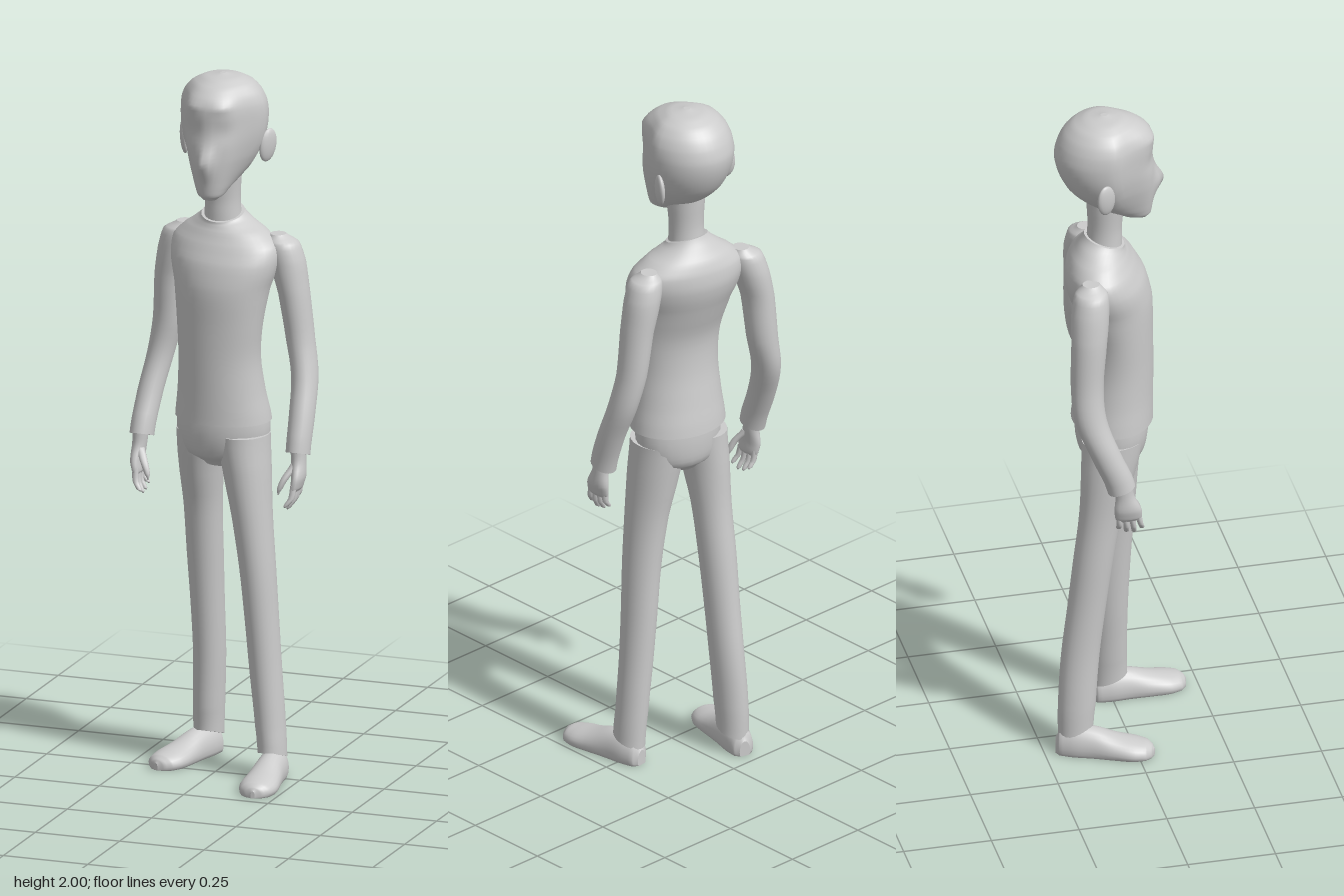
import * as THREE from 'three';

const material = new THREE.MeshStandardMaterial({ color: 0xcccccc, side: THREE.DoubleSide });

// Catmull-Rom blend between a and b, with neighbours p and q
function blend(p, a, b, q, t) {
  const c1 = (b - p) * t;
  const c2 = (2 * p - 5 * a + 4 * b - q) * t * t;
  const c3 = (3 * a - p - 3 * b + q) * t * t * t;
  return a + 0.5 * (c1 + c2 + c3);
}

// Smoothed skin over elliptical rings [y, cx, cz, rx, rz, tilt, twist]:
// tilt raises the front of a ring, twist brings its left side forward.
function loft(rings, { segs = 24, sub = 4, rule } = {}) {
  const src = rings.map(r => [...r, 0, 0].slice(0, 7)).sort((a, b) => a[0] - b[0]);
  const rows = [];
  for (let i = 0; i < src.length - 1; i++) {
    const a = src[i], b = src[i + 1];
    const p = src[Math.max(i - 1, 0)], q = src[Math.min(i + 2, src.length - 1)];
    for (let k = 0; k < sub; k++) {
      const t = k / sub;
      rows.push(a.map((v, n) => (n === 0 ? v + (b[0] - v) * t : blend(p[n], v, b[n], q[n], t))));
    }
  }
  rows.push(src[src.length - 1]);
  const pos = [], index = [];
  const addRing = ([y, cx, cz, rx, rz, tilt, twist], scale = 1) => {
    for (let j = 0; j < segs; j++) {
      const a = j / segs * Math.PI * 2, c = Math.cos(a) * scale, s = Math.sin(a) * scale;
      const v = new THREE.Vector3(cx + rx * c, y + tilt * s, cz + rz * s + twist * rx * c);
      if (rule) rule(v);
      pos.push(v.x, v.y, v.z);
    }
  };
  const join = (lo, hi) => {
    for (let j = 0; j < segs; j++) {
      const k = (j + 1) % segs;
      index.push(lo + j, hi + j, lo + k, lo + k, hi + j, hi + k);
    }
  };
  rows.forEach(r => addRing(r));
  for (let i = 0; i < rows.length - 1; i++) join(i * segs, (i + 1) * segs);
  // End caps keep their own vertices so the rims stay crisp
  for (const [row, order] of [[rows[0], [0.001, 1]], [rows[rows.length - 1], [1, 0.001]]]) {
    const base = pos.length / 3;
    order.forEach(s => addRing(row, s));
    join(base, base + segs);
  }
  const g = new THREE.BufferGeometry();
  g.setAttribute('position', new THREE.Float32BufferAttribute(pos, 3));
  g.setIndex(index);
  g.computeVertexNormals();
  return g;
}

function add(parent, name, geometry) {
  const mesh = new THREE.Mesh(geometry, material);
  mesh.name = name;
  parent.add(mesh);
  return mesh;
}

const bump = (x, y, sx, sy) => Math.exp(-((x / sx) ** 2) - ((y / sy) ** 2));

// Face relief: narrowed cheeks, nose, brows and shallow eye sockets
function faceRule(v) {
  if (v.z > -0.05) v.x *= 1 - 0.18 * Math.sin(Math.min(1, (v.z + 0.05) / 0.13) * Math.PI);
  if (v.z < 0) return;
  const x = Math.abs(v.x);
  v.z += 0.03 * bump(x, v.y - 1.775, 0.02, 0.04)
    + 0.006 * bump(x - 0.045, v.y - 1.93, 0.03, 0.012)
    - 0.007 * bump(x - 0.045, v.y - 1.86, 0.03, 0.03);
}

function makeHead(parent) {
  // Rows: height, front z, back z, half width
  const rows = [
    [1.662, 0.062, 0.025, 0.022], [1.675, 0.072, -0.015, 0.044], [1.70, 0.076, -0.065, 0.062],
    [1.74, 0.079, -0.125, 0.085], [1.78, 0.08, -0.165, 0.105], [1.83, 0.079, -0.19, 0.12],
    [1.88, 0.078, -0.2, 0.125], [1.92, 0.077, -0.191, 0.122], [1.95, 0.066, -0.175, 0.11],
    [1.975, 0.036, -0.15, 0.088], [1.992, -0.005, -0.115, 0.055], [2.0, -0.05, -0.07, 0.008],
  ];
  const rings = rows.map(([y, f, b, w]) => [y, 0, (f + b) / 2, w, (f - b) / 2]);
  add(parent, 'head', loft(rings, { segs: 40, rule: faceRule }));
  for (const s of [-1, 1]) {
    const ear = add(parent, s > 0 ? 'leftEar' : 'rightEar', new THREE.SphereGeometry(1, 16, 12));
    ear.scale.set(0.012, 0.048, 0.03);
    ear.position.set(s * 0.124, 1.797, -0.083);
    ear.rotation.set(-0.15, -s * 0.45, -s * 0.12);
  }
  add(parent, 'neck', loft([[1.54, 0, -0.065, 0.06, 0.055], [1.6, 0, -0.06, 0.052, 0.05],
    [1.65, 0, -0.058, 0.05, 0.048], [1.73, 0, -0.055, 0.055, 0.055]]));
}

// Hand hanging from a wrist, with four curled fingers and a thumb
function makeHand(parent, side, x, y, z) {
  const hand = new THREE.Group();
  hand.name = side > 0 ? 'leftHand' : 'rightHand';
  hand.position.set(x, y, z);
  hand.scale.x = side;
  add(hand, 'palm', loft([[0.02, 0, 0, 0.022, 0.026], [-0.02, 0.002, 0.003, 0.02, 0.027],
    [-0.06, 0.005, 0.01, 0.018, 0.038], [-0.09, 0.001, 0.014, 0.014, 0.038],
    [-0.1, 0, 0.015, 0.008, 0.032]], { segs: 16 }));
  [0.045, 0.058, 0.062, 0.052].forEach((len, i) => {
    const fz = -0.013 + i * 0.018, tip = fz + 0.006 + (i - 1) * 0.004;
    add(hand, 'finger', loft([[-0.08, 0, fz, 0.009, 0.009], [-0.09 - len * 0.5, -0.003, (fz + tip) / 2, 0.009, 0.008],
      [-0.09 - len * 0.9, -0.016, tip, 0.007, 0.007], [-0.09 - len, -0.02, tip, 0.002, 0.002]], { segs: 10, sub: 3 }));
  });
  add(hand, 'thumb', loft([[-0.025, -0.005, 0.015, 0.012, 0.012], [-0.06, -0.024, 0.038, 0.011, 0.011],
    [-0.09, -0.037, 0.048, 0.008, 0.009], [-0.108, -0.041, 0.05, 0.002, 0.002]], { segs: 10, sub: 3 }));
  parent.add(hand);
}

// Shoe lofted heel to toe, then laid flat with a level sole
function makeShoe(parent, name, x, z, turn) {
  const rows = [[-0.137, 0.016, 0.045], [-0.125, 0.031, 0.07], [-0.085, 0.04, 0.085], [-0.03, 0.043, 0.08],
    [0.03, 0.05, 0.06], [0.08, 0.054, 0.048], [0.115, 0.044, 0.04], [0.131, 0.026, 0.03], [0.138, 0.006, 0.02]];
  const rings = rows.map(([l, w, h]) => [l, 0, -0.3 * h, w, 0.7 * h]);
  const g = loft(rings, { rule: v => { v.z = Math.min(0, v.z); } });
  g.rotateX(Math.PI / 2);
  const shoe = add(parent, name, g);
  shoe.position.set(x, 0, z);
  shoe.rotation.y = turn;
}

export function createModel() {
  const model = new THREE.Group();
  model.name = 'standingFigure';
  makeHead(model);

  // Sweater body, shoulders turned slightly to the right
  add(model, 'sweaterBody', loft([
    [1.018, 0.011, -0.035, 0.14, 0.115, 0, 0.06], [1.1, 0.008, -0.028, 0.128, 0.108, 0, 0.08],
    [1.2, 0.005, -0.02, 0.121, 0.1, 0, 0.1], [1.3, 0.006, -0.02, 0.129, 0.1, 0, 0.13],
    [1.4, 0.007, -0.036, 0.145, 0.114, 0, 0.16], [1.47, 0.007, -0.055, 0.165, 0.115, 0, 0.17],
    [1.52, 0.007, -0.068, 0.162, 0.1, 0, 0.17], [1.555, 0.005, -0.073, 0.125, 0.083, 0, 0.15],
    [1.58, 0, -0.068, 0.085, 0.067, -0.008, 0.1], [1.6, 0, -0.06, 0.061, 0.056, -0.018, 0],
  ], { segs: 36 }));

  // Sleeves
  add(model, 'leftSleeve', loft([
    [1.548, 0.158, -0.075, 0.022, 0.024], [1.525, 0.171, -0.075, 0.046, 0.047], [1.47, 0.186, -0.077, 0.05, 0.053],
    [1.38, 0.205, -0.076, 0.044, 0.05], [1.25, 0.224, -0.075, 0.04, 0.046], [1.15, 0.243, -0.058, 0.037, 0.045],
    [1.05, 0.249, -0.02, 0.036, 0.042], [0.945, 0.249, 0.012, 0.034, 0.038, 0.012],
  ]));
  add(model, 'rightSleeve', loft([
    [1.542, -0.14, -0.13, 0.022, 0.024], [1.518, -0.155, -0.133, 0.046, 0.047], [1.46, -0.17, -0.14, 0.05, 0.053],
    [1.38, -0.188, -0.147, 0.045, 0.05], [1.25, -0.198, -0.155, 0.043, 0.046], [1.15, -0.218, -0.15, 0.038, 0.045],
    [1.05, -0.235, -0.115, 0.036, 0.043], [0.93, -0.244, -0.068, 0.034, 0.038, 0.012],
  ]));
  makeHand(model, 1, 0.252, 0.945, 0.016);
  makeHand(model, -1, -0.245, 0.925, -0.062);

  // Trousers
  add(model, 'trouserSeat', loft([
    [0.885, 0.008, -0.04, 0.05, 0.05], [0.92, 0.01, -0.04, 0.115, 0.088],
    [0.98, 0.011, -0.037, 0.133, 0.1], [1.05, 0.011, -0.035, 0.13, 0.1],
  ]));
  add(model, 'leftTrouserLeg', loft([
    [0.065, 0.167, -0.005, 0.04, 0.05, 0.016], [0.15, 0.16, -0.008, 0.042, 0.05], [0.3, 0.146, -0.01, 0.045, 0.051],
    [0.45, 0.134, -0.01, 0.047, 0.055], [0.6, 0.122, -0.008, 0.05, 0.06], [0.75, 0.105, -0.01, 0.056, 0.068],
    [0.88, 0.087, -0.018, 0.067, 0.08], [0.98, 0.073, -0.025, 0.075, 0.086],
  ]));
  add(model, 'rightTrouserLeg', loft([
    [0.065, -0.08, -0.16, 0.042, 0.05, 0.016], [0.15, -0.078, -0.156, 0.044, 0.053], [0.3, -0.072, -0.145, 0.045, 0.054],
    [0.45, -0.071, -0.127, 0.047, 0.054], [0.6, -0.071, -0.108, 0.051, 0.056], [0.75, -0.069, -0.086, 0.054, 0.06],
    [0.88, -0.065, -0.064, 0.063, 0.076], [0.98, -0.056, -0.05, 0.072, 0.086],
  ]));
  makeShoe(model, 'leftShoe', 0.18, 0.08, 0.09);
  makeShoe(model, 'rightShoe', -0.117, -0.085, -0.31);
  return model;
}
